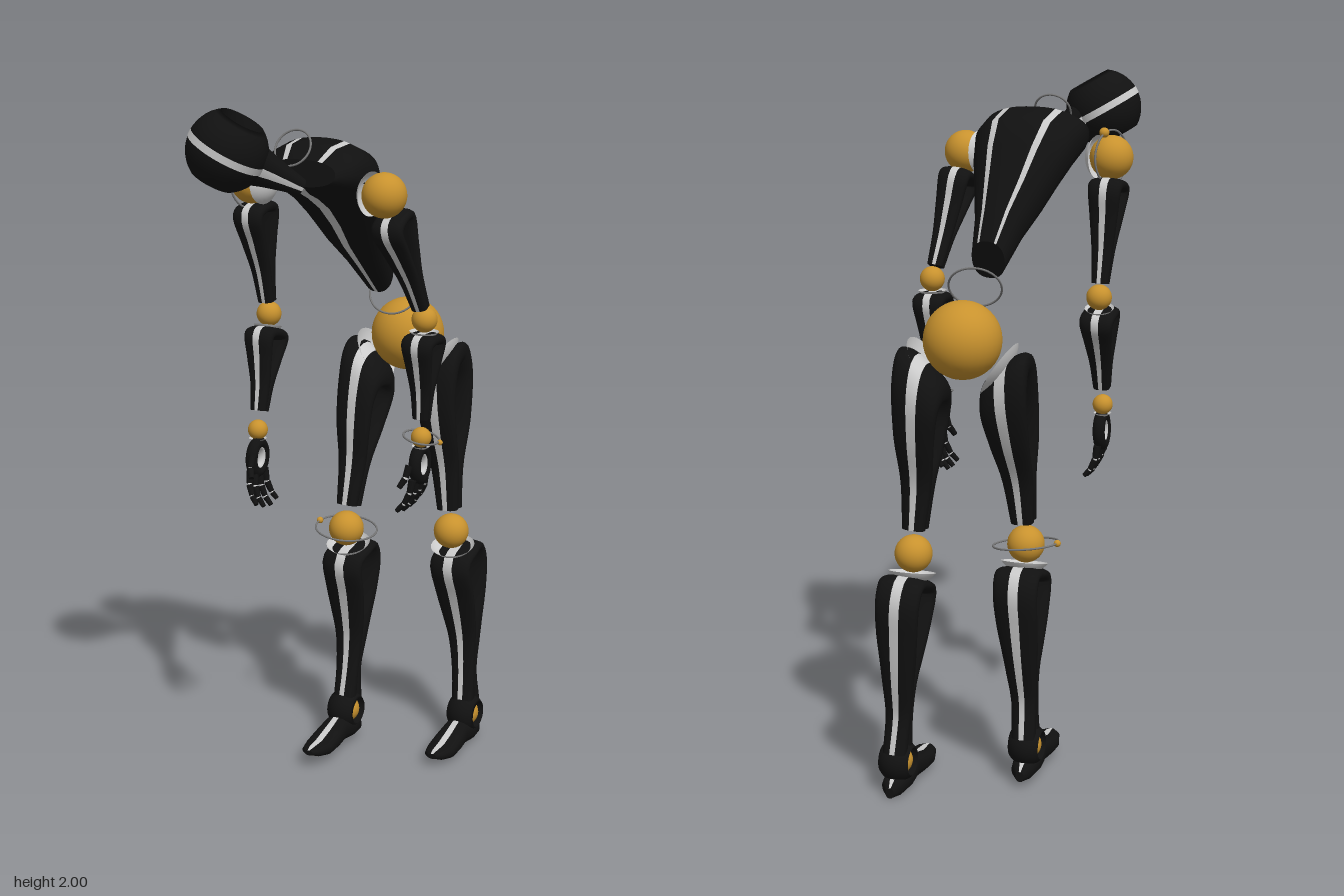
import * as THREE from 'three';

const V = (x, y, z) => new THREE.Vector3(x, y, z);
const mat = (color) => new THREE.MeshStandardMaterial({ color, side: THREE.DoubleSide });
const DARK = mat(0x111111), LIGHT = mat(0xcccccc), GOLD = mat(0xc8922e), WIRE = mat(0x777777);

function add(parent, name, geo, material, pos) {
  const m = new THREE.Mesh(geo, material);
  m.name = name;
  if (pos) m.position.copy(pos);
  parent.add(m);
  return m;
}
const ball = (parent, name, pos, r, material = GOLD) =>
  add(parent, name, new THREE.SphereGeometry(r, 32, 20), material, pos);
const aim = (mesh, from, dir) => mesh.quaternion.setFromUnitVectors(from, dir.clone().normalize());

// Skin over cross-sections {c, u, v}; the listed strips around the girth become light stripes
function loft(parent, name, secs, stripes, N = 20, pow = 0.8) {
  const cap = (s) => ({ c: s.c, u: V(0, 0, 0), v: V(0, 0, 0) });
  const first = secs[0], last = secs[secs.length - 1];
  const all = [cap(first), first, ...secs, last, cap(last)];
  const f = (q) => Math.sign(q) * Math.abs(q) ** pow;
  const pos = [];
  for (const s of all) for (let j = 0; j < N; j++) {
    const a = (j - 0.5) * 2 * Math.PI / N;
    pos.push(...s.c.clone().addScaledVector(s.u, f(Math.sin(a))).addScaledVector(s.v, f(Math.cos(a))).toArray());
  }
  const flip = first.u.clone().cross(first.v).dot(secs[1].c.clone().sub(first.c)) > 0;
  const dark = [], light = [];
  for (let i = 0; i < all.length - 1; i++) for (let j = 0; j < N; j++) {
    const k = (j + 1) % N, a = i * N + j, b = a + N, c = i * N + k, d = c + N;
    const body = i > 1 && i < all.length - 3;
    (body && stripes.includes(j) ? light : dark).push(...(flip ? [a, b, c, c, b, d] : [a, c, b, c, d, b]));
  }
  const geo = new THREE.BufferGeometry();
  geo.setAttribute('position', new THREE.Float32BufferAttribute(pos, 3));
  geo.setIndex([...dark, ...light]);
  geo.computeVertexNormals();
  const part = (idx) => geo.clone().setIndex(idx);
  add(parent, name, part(dark), DARK);
  if (light.length) add(parent, name + 'Stripe', part(light), LIGHT);
}

// Open limb: one bar running up the front, over the top and down the back.
// rows: [fraction from joint a to joint b, forward offset, half width, half depth]
function wishbone(parent, name, a, b, rows, tilt = 0) {
  const len = a.distanceTo(b), w = b.clone().sub(a).normalize();
  const fwd = V(0, 0, 1).addScaledVector(w, -w.z).normalize();
  const side = V(1, 0, 0).addScaledVector(w, -w.x).normalize();
  const path = new THREE.CatmullRomCurve3(rows.map(([t, o, h]) => V(t * len, o, h)));
  const depth = new THREE.CatmullRomCurve3(rows.map((r) => V(r[3], r[0], r[1])));
  const secs = [], n = 40;
  for (let i = 0; i <= n; i++) {
    const p = path.getPoint(i / n), g = path.getTangent(i / n);
    const l = Math.hypot(g.x, g.y) || 1, lean = tilt * Math.max(0, 1 - p.x / len / 0.35);
    secs.push({
      c: a.clone().addScaledVector(w, p.x).addScaledVector(fwd, p.y),
      u: side.clone().addScaledVector(w, -lean).multiplyScalar(p.z),
      v: w.clone().multiplyScalar(g.y / l).addScaledVector(fwd, -g.x / l).multiplyScalar(depth.getPoint(i / n).x),
    });
  }
  loft(parent, name, secs, [0]);
}

// Thin bowl concentric with a joint
function cup(parent, name, c, dir, r, angle) {
  aim(add(parent, name, new THREE.SphereGeometry(r, 28, 8, 0, Math.PI * 2, 0, angle), LIGHT, c), V(0, 1, 0), dir);
}
function halo(parent, name, c, normal, r, bead, beadR) {
  aim(add(parent, name, new THREE.TorusGeometry(r, 0.003, 8, 48), WIRE, c), V(0, 0, 1), normal);
  if (bead) ball(parent, name + 'Bead', bead, beadR);
}
// Ball with a bore right through it, seen as a thick band
function boredBand(parent, name, c, axis, r, bore, squash = 1) {
  const pts = [], lim = Math.acos(bore / r);
  for (let i = 0; i <= 14; i++) {
    const a = lim * (i / 7 - 1);
    pts.push(new THREE.Vector2(r * Math.cos(a), r * Math.sin(a) * squash));
  }
  pts.push(new THREE.Vector2(bore * 0.9, 0), pts[0].clone());
  aim(add(parent, name, new THREE.LatheGeometry(pts, 40), DARK, c), V(0, 1, 0), axis);
}

const THIGH = [[.86, .016, .033, .02], [.6, .02, .045, .022], [.4, .045, .055, .02], [.2, .055, .062, .024],
  [.05, .03, .07, .04], [.02, -.025, .072, .045], [.12, -.06, .068, .03], [.35, -.05, .058, .022],
  [.6, -.012, .045, .022], [.86, -.01, .033, .02]];
const SHIN = [[.95, .008, .035, .028], [.77, -.01, .037, .018], [.6, -.02, .045, .018], [.47, -.01, .055, .018],
  [.33, .008, .063, .018], [.17, .025, .066, .022], [.13, -.03, .068, .018], [.12, -.08, .066, .02],
  [.2, -.102, .064, .022], [.35, -.088, .06, .022], [.5, -.062, .052, .028], [.62, -.045, .045, .025],
  [.77, -.026, .037, .02], [.95, -.03, .035, .026]];
const ARM = [[.9, .007, .024, .015], [.65, .013, .031, .016], [.42, .033, .04, .016], [.22, .045, .048, .019],
  [.19, 0, .05, .017], [.22, -.042, .048, .019], [.42, -.03, .04, .016], [.65, -.012, .031, .016], [.9, -.006, .024, .015]];
const FOREARM = ARM.map(([t, o, h, d]) => [t * 0.95 - 0.02, o * 0.92, h, d]);

function hand(parent, s, wrist, swing) {
  const g = new THREE.Group();
  g.name = 'hand';
  g.position.copy(wrist);
  g.rotation.x = swing;
  parent.add(g);
  const palm = add(g, 'palm', new THREE.TorusGeometry(0.034, 0.014, 12, 28), DARK, V(-s * 0.005, -0.08, 0));
  palm.rotation.y = Math.PI / 2;
  palm.scale.set(1, 1.25, 1.3);
  const lining = add(g, 'palmLining', new THREE.TorusGeometry(0.025, 0.008, 10, 28), LIGHT, V(-s * 0.005, -0.08, 0));
  lining.rotation.y = Math.PI / 2;
  lining.scale.set(1, 1.3, 1.6);
  // Each digit is a curling chain of short segments
  const digit = (name, p, splay, lens, curl) => lens.forEach((l, k) => {
    const a = 0.15 + curl * k;
    const d = V(-s * Math.sin(a), -Math.cos(a), splay).normalize();
    const r = 0.0115 - k * 0.0015;
    const mid = p.clone().addScaledVector(d, l / 2);
    aim(add(g, name, new THREE.CylinderGeometry(r * 0.8, r, l * 0.86, 10), DARK, mid), V(0, 1, 0), d);
    p.addScaledVector(d, l);
    if (k < lens.length - 1) ball(g, name + 'Joint', p, 0.006, LIGHT);
  });
  for (let i = 0; i < 4; i++) {
    const z = 0.042 - 0.027 * i;
    digit('finger', V(-s * 0.008, -0.125 + Math.abs(i - 1.5) * 0.008, z), z * 5, [0.042, 0.036, i === 3 ? 0.026 : 0.032], 0.3);
  }
  digit('thumb', V(-s * 0.015, -0.07, 0.045), 0.5, [0.04, 0.035], 0.35);
}

function foot(parent, ankle) {
  boredBand(parent, 'heelBand', ankle, V(1, 0, 0), 0.062, 0.04, 0.95);
  ball(parent, 'ankleBall', ankle, 0.042);
  const rows = [[-.068, -.075, .012, .015], [-.045, -.065, .032, .026], [.01, -.058, .042, .03], [.065, -.045, .04, .038],
    [.12, -.055, .045, .03], [.175, -.062, .045, .022], [.22, -.058, .032, .015], [.24, -.055, .014, .008]];
  loft(parent, 'foot', rows.map(([z, y, w, h]) =>
    ({ c: V(0, y, z).add(ankle), u: V(w, 0, 0), v: V(0, h, 0) })), [0, 8, 9, 10, 11, 12]);
}

export function createModel() {
  const model = new THREE.Group();
  const pelvis = V(.057, 1.3, -.31);
  ball(model, 'pelvisBall', pelvis, 0.108);

  // Torso bent forward: [x, y, z, half width, depth y, depth z]
  const torso = [[-.025, 1.82, .185, .12, .035, -.01], [-.022, 1.828, .15, .152, .065, -.02], [-.018, 1.825, .1, .165, .08, -.03],
    [-.01, 1.795, .035, .16, .083, -.045], [0, 1.735, -.012, .138, .075, -.045], [.01, 1.66, -.055, .108, .064, -.044],
    [.02, 1.585, -.11, .075, .055, -.035], [.033, 1.5, -.165, .052, .052, -.015]];
  loft(model, 'torso', torso.map(([x, y, z, w, dy, dz]) =>
    ({ c: V(x, y, z), u: V(w * .98, 0, w * .187), v: V(0, dy, dz) })), [3, 20, 37], 40, 0.85);

  // Head: bored ball around an eye, with a tapering spur behind
  const head = V(-.148, 1.89, .358), axis = V(.47, .87, -.12).normalize();
  const face = V(-.668, .454, .59).normalize(), across = axis.clone().cross(face).normalize();
  boredBand(model, 'head', head, axis, 0.11, 0.062);
  ball(model, 'eye', head, 0.053);
  const band = add(model, 'headStripe', new THREE.CylinderGeometry(0.1108, 0.1108, 0.02, 48, 1, true), LIGHT, head);
  aim(band, V(0, 1, 0), axis);
  loft(model, 'headSpur', [[.07, .06, .065], [.12, .046, .045], [.17, .034, .032], [.225, .022, .02]].map(([d, a, b]) => ({
    c: head.clone().addScaledVector(face, -d), u: axis.clone().multiplyScalar(a), v: across.clone().multiplyScalar(b),
  })), [0, 10]);

  // Limbs: joints for each side (s = +1 is the model's left)
  const sides = [
    { s: 1, shoulder: V(.207, 1.77, .145), elbow: V(.26, 1.415, 0), wrist: V(.254, 1.078, 0), swing: 0.06,
      hip: V(.16, 1.215, -.335), knee: V(.196, .695, -.339), ankle: V(.235, .092, -.381) },
    { s: -1, shoulder: V(-.254, 1.77, .057), elbow: V(-.238, 1.385, 0), wrist: V(-.228, 1.06, .087), swing: -0.15,
      hip: V(-.065, 1.215, -.295), knee: V(-.083, .705, -.185), ankle: V(-.09, .108, -.196) },
  ];
  for (const j of sides) {
    const arm = new THREE.Group(), leg = new THREE.Group();
    arm.name = j.s > 0 ? 'leftArm' : 'rightArm';
    leg.name = j.s > 0 ? 'leftLeg' : 'rightLeg';
    model.add(arm, leg);
    ball(arm, 'shoulderBall', j.shoulder, 0.061);
    cup(arm, 'shoulderSocket', j.shoulder, V(-j.s, 0, -j.s * .187), 0.074, 0.95);
    wishbone(arm, 'upperArm', j.shoulder, j.elbow, ARM);
    ball(arm, 'elbowBall', j.elbow, 0.036);
    cup(arm, 'elbowCup', j.elbow, j.wrist.clone().sub(j.elbow), 0.053, 0.9);
    wishbone(arm, 'forearm', j.elbow, j.wrist, FOREARM);
    ball(arm, 'wristBall', j.wrist, 0.029);
    cup(arm, 'wristCup', j.wrist, V(0, -1, 0), 0.036, 0.8);
    hand(arm, j.s, j.wrist, j.swing);

    cup(leg, 'hipSocket', pelvis, V(j.s * .83, -.55, 0), 0.152, 0.58);
    wishbone(leg, 'thigh', j.hip, j.knee, THIGH, j.s * 0.7);
    ball(leg, 'kneeBall', j.knee, 0.053);
    cup(leg, 'kneeCup', j.knee, V(0, -1, -.25), 0.084, 0.92);
    wishbone(leg, 'shin', j.knee, j.ankle, SHIN);
    foot(leg, j.ankle);
  }

  // Floating rings, some carrying a small bead
  halo(model, 'waistRing', V(.043, 1.435, -.245), V(.15, .6, .78), 0.073);
  halo(model, 'neckRing', V(-.04, 1.888, .2), V(0, .52, .855), 0.053);
  halo(model, 'shoulderRing', sides[1].shoulder, V(.93, 0, .37), 0.075, V(-.24, 1.839, .03), 0.014);
  halo(model, 'kneeRing', sides[1].knee, V(.1, .98, .08), 0.093, V(-.176, .715, -.188), 0.01);
  halo(model, 'wristRing', sides[0].wrist, V(.2, .97, .05), 0.051, V(.306, 1.066, -.014), 0.008);
  return model;
}
